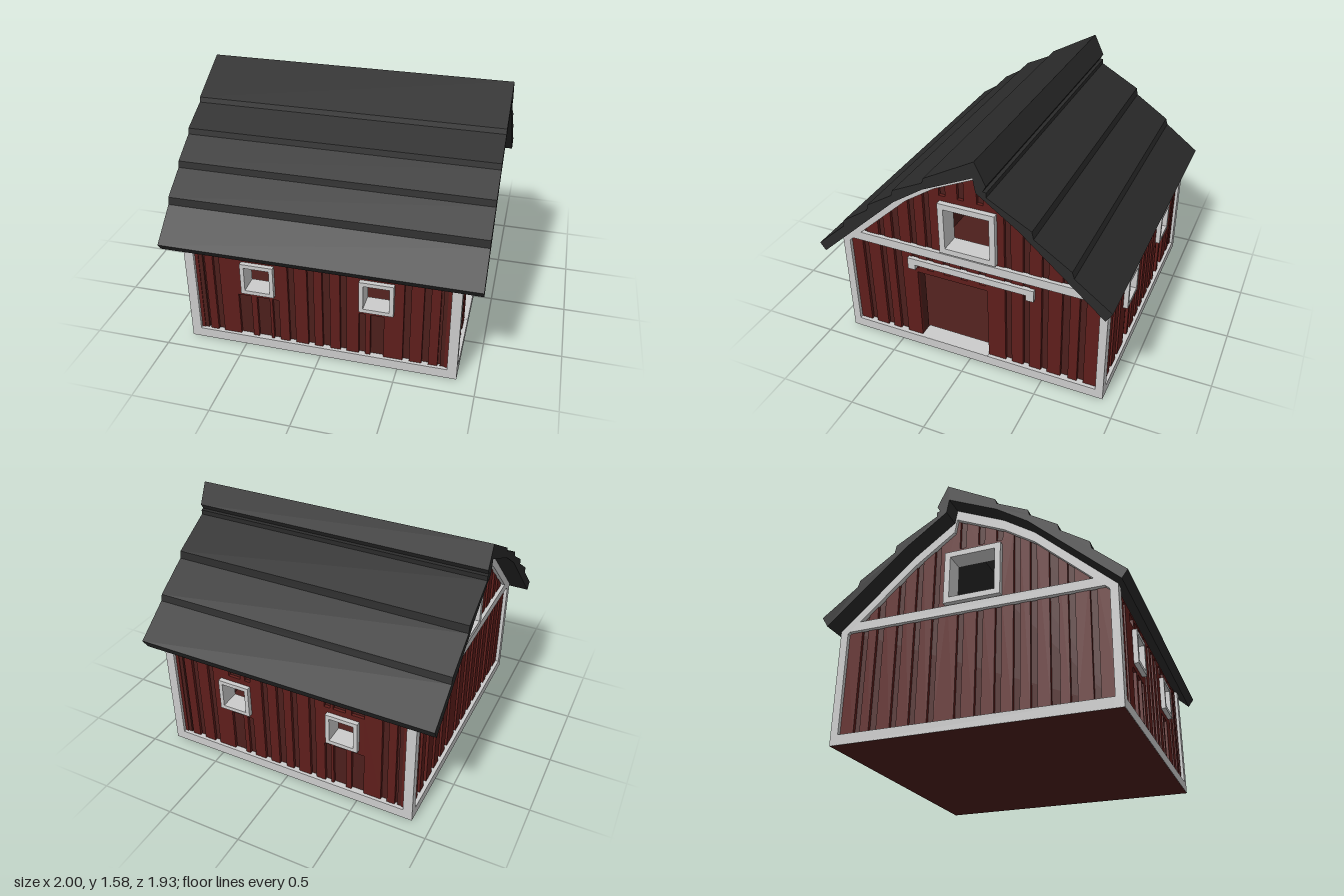
import * as THREE from 'three';

const mat = (color) => new THREE.MeshStandardMaterial({ color, flatShading: true });
const RED = mat(0x5e1e1b), DARK = mat(0x4c1f1c), ROOF = mat(0x2a2a2a), TRIM = mat(0xcccccc);

// Body limits: x is symmetric, z runs from back to front
const X = 0.875, ZB = -0.905, ZF = 0.88, ZM = (ZB + ZF) / 2;

// Underside of the roof as (z, y), from front eave to back eave
const UNDER = [[0.93, 0.69], [0.39, 1.19], [0.19, 1.325], [-0.13, 1.475], [-0.145, 1.385], [-0.4, 1.2], [-0.925, 0.735]];
// Stepped outer surface of the roof, from front eave to back eave
const OUTER = [[0.967, 0.74], [0.77, 0.917], [0.76, 0.964], [0.583, 1.083], [0.573, 1.124], [0.4, 1.233],
  [0.39, 1.27], [0.19, 1.368], [0.18, 1.4], [-0.142, 1.58], [-0.21, 1.44], [-0.19, 1.405], [-0.21, 1.4],
  [-0.21, 1.37], [-0.48, 1.218], [-0.49, 1.17], [-0.72, 1.016], [-0.733, 0.974], [-0.965, 0.8]];

function roofY(z) {
  for (let i = 0; i < UNDER.length - 1; i++) {
    const [z0, y0] = UNDER[i], [z1, y1] = UNDER[i + 1];
    if (z <= z0 && z >= z1) return y0 + (y1 - y0) * (z - z0) / (z1 - z0);
  }
  return 0.7;
}

const poly = (pts) => pts.map(([a, b]) => new THREE.Vector2(a, b));
const rect = ([a0, a1, b0, b1]) => [[a0, b0], [a1, b0], [a1, b1], [a0, b1]];

// Extruded panel; axis 'z' keeps the shape in x-y, axis 'x' lays it in z-y
function panel(name, material, outline, holes, axis, from, to) {
  const shape = new THREE.Shape(poly(outline));
  for (const h of holes) shape.holes.push(new THREE.Path(poly(h)));
  const geo = new THREE.ExtrudeGeometry(shape, { depth: to - from, bevelEnabled: false });
  const mesh = new THREE.Mesh(geo, material);
  if (axis === 'x') {
    mesh.rotation.y = -Math.PI / 2;
    mesh.position.x = to;
  } else mesh.position.z = from;
  mesh.name = name;
  return mesh;
}

function box(name, material, x0, x1, y0, y1, z0, z1) {
  const mesh = new THREE.Mesh(new THREE.BoxGeometry(x1 - x0, y1 - y0, z1 - z0), material);
  mesh.position.set((x0 + x1) / 2, (y0 + y1) / 2, (z0 + z1) / 2);
  mesh.name = name;
  return mesh;
}

// Gaps between boards, interrupted around the openings
function grooves(list, openings, top) {
  const out = [];
  for (const [c, w = 0.042] of list) {
    const a0 = c - w / 2, a1 = c + w / 2;
    let spans = [[0.05, Infinity]];
    for (const [o0, o1, b0, b1] of openings) {
      if (a1 < o0 - 0.005 || a0 > o1 + 0.005) continue;
      spans = spans.flatMap(([s, e]) => [[s, Math.min(e, b0 - 0.035)], [Math.max(s, b1 + 0.035), e]]);
    }
    for (const [s, e] of spans) {
      const e0 = Math.min(e, top(a0)), e1 = Math.min(e, top(a1));
      if (Math.min(e0, e1) - s > 0.02) out.push([[a0, s], [a1, s], [a1, e1], [a0, e0]]);
    }
  }
  return out;
}

const inset = ([a0, a1, b0, b1], t) => [a0 + t, a1 - t, b0 + t, b1 - t];

const SIDE_GAPS = [[-0.77], [-0.675], [-0.495, 0.085], [-0.372, 0.085], [-0.29], [-0.185], [-0.06], [0.04, 0.05],
  [0.15], [0.27], [0.365, 0.085], [0.55], [0.67], [0.77]];
const GABLE_GAPS = [[0.73], [0.6], [0.495, 0.055], [0.37], [0.265], [0.15], [0.03], [-0.095], [-0.265],
  [-0.385], [-0.505], [-0.64, 0.05], [-0.745]];
const SIDE_WINDOWS = [[-0.505, -0.29, 0.41, 0.63], [0.255, 0.47, 0.41, 0.63]];
const GABLE_WINDOW = [-0.2, 0.17, 0.815, 1.17];
const DOOR = [-0.125, 0.36, 0.065, 0.585];

// Long wall with two windows; s is +1 for front, -1 for back
function sideWall(s) {
  const g = new THREE.Group();
  g.name = s > 0 ? 'frontWall' : 'backWall';
  const z = s > 0 ? ZF : ZB, top = s > 0 ? 0.74 : 0.76;
  const outline = rect([-0.845, 0.845, 0.01, top]);
  const slab = (name, m, out, holes, d0, d1) => {
    const a = z - s * d0, b = z - s * d1;
    g.add(panel(name, m, out, holes, 'z', Math.min(a, b), Math.max(a, b)));
  };
  const holes = SIDE_WINDOWS.map((w) => rect(inset(w, 0.012)));
  slab('wallCore', DARK, outline, holes, 0.04, 0.11);
  slab('wallBoards', RED, outline, [...holes, ...grooves(SIDE_GAPS, SIDE_WINDOWS, () => top - 0.02)], 0.02, 0.04);
  for (const w of SIDE_WINDOWS) slab('windowFrame', TRIM, rect(w), [rect(inset(w, 0.026))], -0.01, 0.12);
  slab('baseTrim', TRIM, rect([-X, X, 0, 0.065]), [], 0, 0.06);
  return g;
}

// Gable end; s is +1 for the end with the doorway
function gable(s) {
  const g = new THREE.Group();
  g.name = s > 0 ? 'leftGable' : 'rightGable';
  const slab = (name, m, out, holes, d0, d1) => {
    const a = s * (X - d0), b = s * (X - d1);
    g.add(panel(name, m, out, holes, 'x', Math.min(a, b), Math.max(a, b)));
  };
  const f = 0.855, k = -0.88;
  const outline = [[f, 0.01], [f, roofY(f)], ...UNDER.slice(1, -1), [k, roofY(k)], [k, 0.01]];
  const openings = s > 0 ? [GABLE_WINDOW, DOOR] : [GABLE_WINDOW];
  const holes = [rect(inset(GABLE_WINDOW, 0.015))];
  if (s > 0) holes.push(rect(DOOR));
  slab('gableCore', DARK, outline, holes, 0.045, 0.11);
  slab('gableBoards', RED, outline, [...holes, ...grooves(GABLE_GAPS, openings, (z) => roofY(z) - 0.04)], 0.024, 0.045);
  slab('gableWindowFrame', TRIM, rect(GABLE_WINDOW), [rect(inset(GABLE_WINDOW, 0.037))], -0.01, 0.12);

  // Curved trim below the roof, band, and base
  const edge = [[ZF, roofY(ZF)], ...UNDER.slice(1, -1), [ZB, roofY(ZB)]];
  slab('rakeTrim', TRIM, [...edge, ...edge.map(([z, y]) => [z, y - 0.067]).reverse()], [], 0, 0.03);
  slab('bandTrim', TRIM, rect([ZB + 0.02, ZF - 0.02, 0.74, 0.8]), [], 0, 0.03);
  slab('baseTrim', TRIM, rect([ZB, ZF, 0, 0.065]), [], 0, 0.06);

  if (s > 0) {
    // Sliding door rail with end brackets, and the sill
    slab('doorRail', TRIM, [[-0.44, 0.615], [-0.39, 0.615], [-0.39, 0.652], [0.363, 0.652], [0.363, 0.615],
      [0.413, 0.615], [0.413, 0.697], [-0.44, 0.697]], [], 0.001, 0.03);
    slab('doorSill', TRIM, rect([DOOR[0], DOOR[1], 0.01, 0.066]), [], 0.001, 0.12);
  }
  return g;
}

export function createModel() {
  const model = new THREE.Group();
  model.name = 'barn';

  for (const s of [1, -1]) {
    model.add(sideWall(s), gable(s));
    // Corner posts
    const x0 = s > 0 ? X - 0.062 : -X, x1 = x0 + 0.062;
    model.add(box('cornerPost', TRIM, x0, x1, 0, 0.745, ZF - 0.05, ZF));
    model.add(box('cornerPost', TRIM, x0, x1, 0, 0.77, ZB, ZB + 0.05));
  }

  model.add(box('floor', DARK, -X + 0.002, X - 0.002, -0.001, 0.03, ZM - 0.89, ZM + 0.89));
  model.add(panel('roof', ROOF, [...OUTER, ...[...UNDER].reverse()], [], 'x', -1, 1));
  return model;
}
